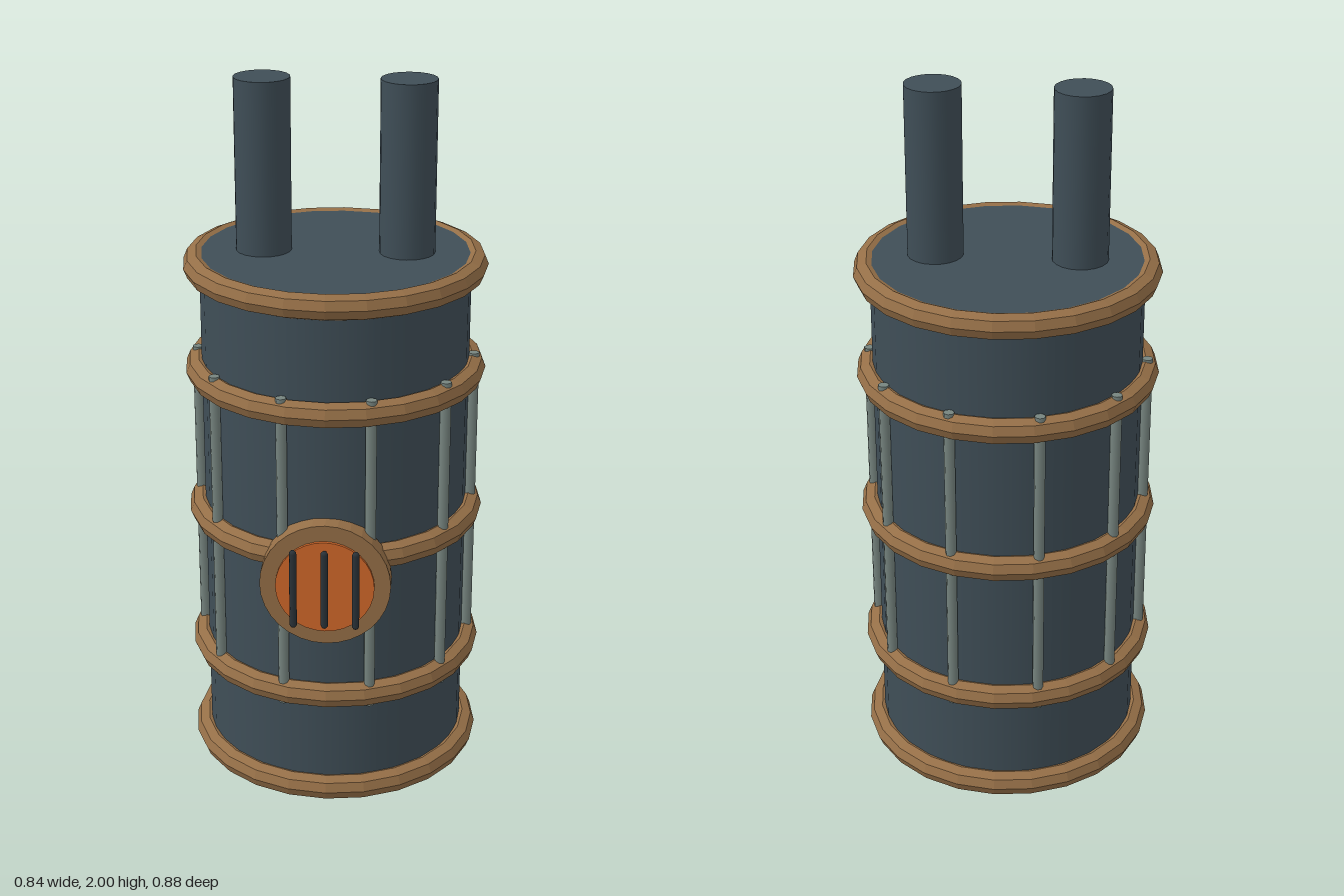
import * as THREE from 'three';

const mat = (name, color, flatShading = false) => {
  const m = new THREE.MeshStandardMaterial({ color, flatShading });
  m.name = name;
  return m;
};

export function createModel() {
  const slate = mat('slate metal', 0x3f4e57);
  const bronze = mat('bronze', 0x956f47, true);
  const steel = mat('grey steel', 0x76847f);
  const glow = mat('orange glow', 0xd2682a);
  const iron = mat('dark iron', 0x2a3238);

  const model = new THREE.Group();
  model.name = 'boiler';
  const add = (parent, name, geometry, material, x, y, z) => {
    const mesh = new THREE.Mesh(geometry, material);
    mesh.name = name;
    mesh.position.set(x, y, z);
    parent.add(mesh);
    return mesh;
  };

  // Tank and everything centred on its axis
  const tank = new THREE.Group();
  tank.name = 'tank';
  tank.position.z = -0.02;
  model.add(tank);
  add(tank, 'tankBody', new THREE.CylinderGeometry(0.375, 0.375, 1.514, 32), slate, 0, 0.764, 0);

  // Bronze hoops
  const hoop = new THREE.TorusGeometry(0.385, 0.036, 8, 24).rotateX(Math.PI / 2);
  for (const y of [0.036, 0.34, 0.767, 1.19, 1.491]) add(tank, 'hoop', hoop, bronze, 0, y, 0);

  // Ten upright rods around the wall
  const rod = new THREE.CylinderGeometry(0.015, 0.015, 0.925, 8);
  for (let i = 0; i < 10; i++) {
    const a = (i / 10) * Math.PI * 2;
    add(tank, 'rod', rod, steel, Math.cos(a) * 0.388, 0.768, Math.sin(a) * 0.388);
  }

  // Twin chimneys
  const chimney = new THREE.CylinderGeometry(0.077, 0.077, 0.5, 20);
  for (const side of [-1, 1]) add(tank, 'chimney', chimney, slate, side * 0.197, 1.75, 0);

  // Furnace door with glowing window and grate
  const door = new THREE.Group();
  door.name = 'furnaceDoor';
  door.position.y = 0.705;
  model.add(door);
  const disc = (r, depth) => new THREE.CylinderGeometry(r, r, depth, 32).rotateX(Math.PI / 2);
  add(door, 'doorFrame', disc(0.179, 0.062), bronze, 0, 0, 0.371);
  add(door, 'doorGlow', disc(0.135, 0.009), glow, 0, 0, 0.4095);
  const bar = new THREE.CapsuleGeometry(0.01, 0.215, 4, 8);
  for (const x of [-0.085, 0, 0.085]) add(door, 'grateBar', bar, iron, x, 0, 0.429);

  return model;
}
